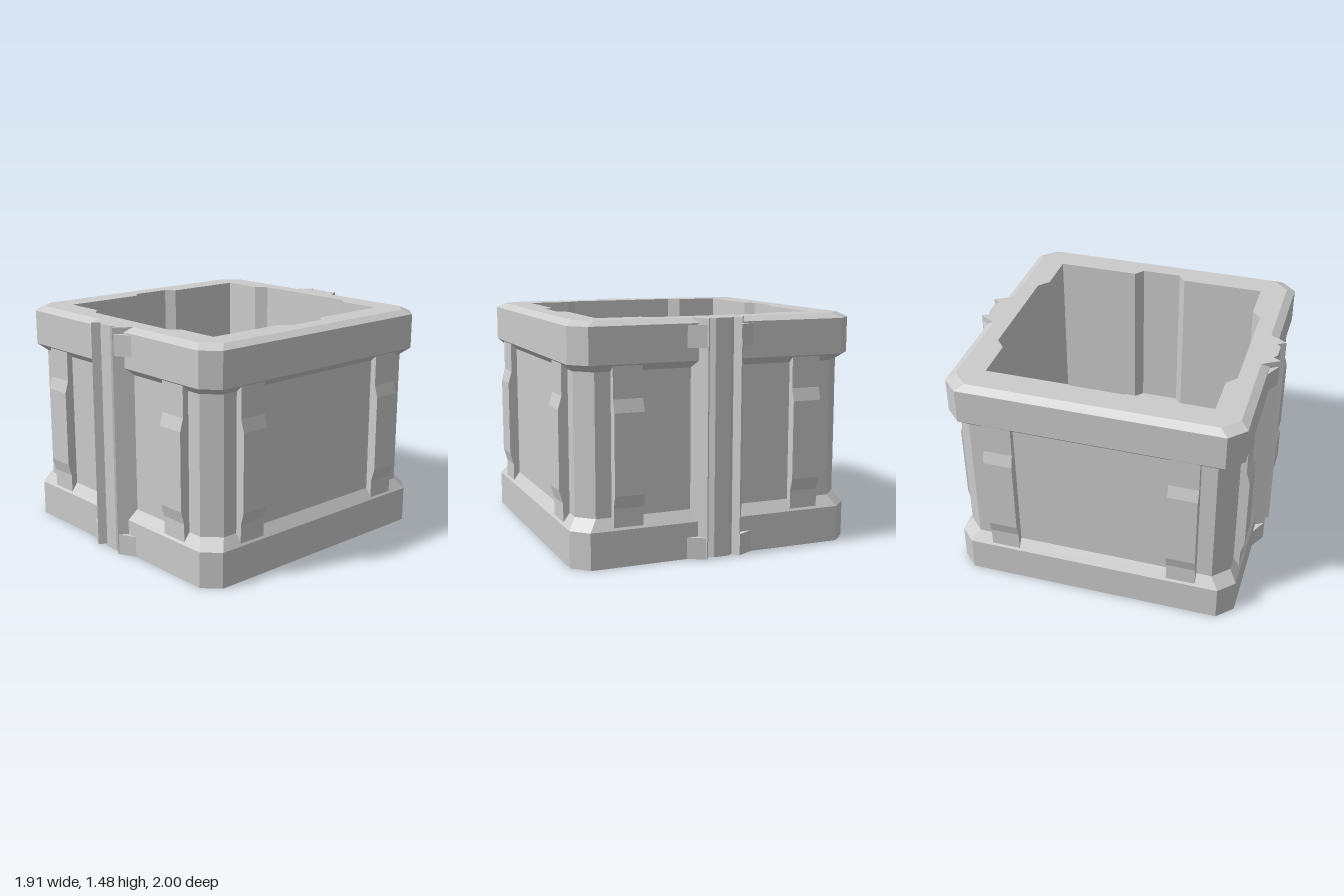
import * as THREE from 'three';

const grey = new THREE.MeshStandardMaterial({ color: 0xcccccc, flatShading: true });
const greyBoth = new THREE.MeshStandardMaterial({ color: 0xcccccc, flatShading: true, side: THREE.DoubleSide });

function named(name, geometry, material = grey) {
  const mesh = new THREE.Mesh(geometry, material);
  mesh.name = name;
  return mesh;
}

// Square with cut corners, counter-clockwise in plan
function octagon(half, cut = 0.1) {
  const c = half - cut;
  return [[half, -c], [half, c], [c, half], [-c, half], [-half, c], [-half, -c], [-c, -half], [c, -half]];
}

// Faceted skin through stacked outlines; each level is { y, outline }
function loft(levels) {
  const pos = [];
  const at = (level, i) => {
    const [x, p] = level.outline[i % level.outline.length];
    return [x, level.y, -p];
  };
  for (let k = 0; k + 1 < levels.length; k++) {
    for (let i = 0; i < levels[k].outline.length; i++) {
      const a = at(levels[k], i), b = at(levels[k], i + 1);
      const c = at(levels[k + 1], i + 1), d = at(levels[k + 1], i);
      pos.push(...a, ...b, ...c, ...a, ...c, ...d);
    }
  }
  const g = new THREE.BufferGeometry();
  g.setAttribute('position', new THREE.Float32BufferAttribute(pos, 3));
  g.computeVertexNormals();
  return g;
}

const toShape = (pts) => new THREE.Shape(pts.map(([x, y]) => new THREE.Vector2(x, y)));

// Upright prism from a plan outline
function prism(pts, y0, y1) {
  return new THREE.ExtrudeGeometry(toShape(pts), { depth: y1 - y0, bevelEnabled: false })
    .rotateX(-Math.PI / 2).translate(0, y0, 0);
}

export function createModel() {
  const model = new THREE.Group();
  model.name = 'crate';

  // Outer skin: base band, recessed wall, upper band, chamfered rim
  const profile = [[0.94, 0], [0.94, 0.23], [0.89, 0.3], [0.89, 1.18], [0.94, 1.225], [0.94, 1.45], [0.89, 1.48]];
  model.add(named('outerShell', loft(profile.map(([r, y]) => ({ y, outline: octagon(r) }))), greyBoth));

  // Cavity outline: square with a recess in each wall
  const w = 0.72, d = 0.78;
  const cavity = [
    [w, -w], [w, -0.18], [d, -0.13], [d, 0.13], [w, 0.18], [w, w],
    [0.44, w], [0.37, d], [-0.37, d], [-0.44, w],
    [-w, w], [-w, 0.18], [-d, 0.13], [-d, -0.13], [-w, -0.18], [-w, -w],
    [-0.44, -w], [-0.37, -d], [0.37, -d], [0.44, -w],
  ];
  const floorY = 0.42;
  const rim = toShape(octagon(0.89));
  rim.holes.push(toShape(cavity));
  model.add(named('topRim', new THREE.ShapeGeometry(rim).rotateX(-Math.PI / 2).translate(0, 1.48, 0), greyBoth));
  model.add(named('innerWall', loft([{ y: floorY, outline: cavity }, { y: 1.48, outline: cavity }]), greyBoth));
  model.add(named('floor', new THREE.PlaneGeometry(2 * d, 2 * d).rotateX(-Math.PI / 2).translate(0, floorY, 0), greyBoth));

  // Raised straps, two on each side
  const strap = new THREE.ExtrudeGeometry(toShape([
    [0.86, 0.24], [0.93, 0.24], [0.93, 0.36], [0.953, 0.44],
    [0.953, 0.94], [0.93, 1.02], [0.93, 1.22], [0.86, 1.22],
  ]), { depth: 0.19, bevelEnabled: false });
  for (let side = 0; side < 4; side++) {
    const group = new THREE.Group();
    group.name = 'strapPair';
    group.rotation.y = side * Math.PI / 2;
    for (const z of [0.5, -0.69]) {
      const mesh = named('strap', strap);
      mesh.position.z = z;
      group.add(mesh);
    }
    model.add(group);
  }

  // Grooved post with four wedge tabs, on the front and the back
  const post = prism([
    [0.18, 0.885], [0.11, 1], [0.08, 0.95], [0.05, 0.972],
    [-0.05, 0.972], [-0.08, 0.95], [-0.11, 1], [-0.18, 0.885],
  ], 0, 1.48);
  for (const turn of [0, Math.PI]) {
    const group = new THREE.Group();
    group.name = 'postAssembly';
    group.rotation.y = turn;
    group.add(named('post', post));
    for (const s of [1, -1]) {
      const wedge = [[0.22, 0.86], [0.22, 0.94], [0.115, 0.995], [0.115, 0.86]].map(([x, y]) => [s * x, y]);
      for (const [y0, y1] of [[0, 0.135], [1.305, 1.44]]) group.add(named('postTab', prism(wedge, y0, y1)));
    }
    model.add(group);
  }
  return model;
}
